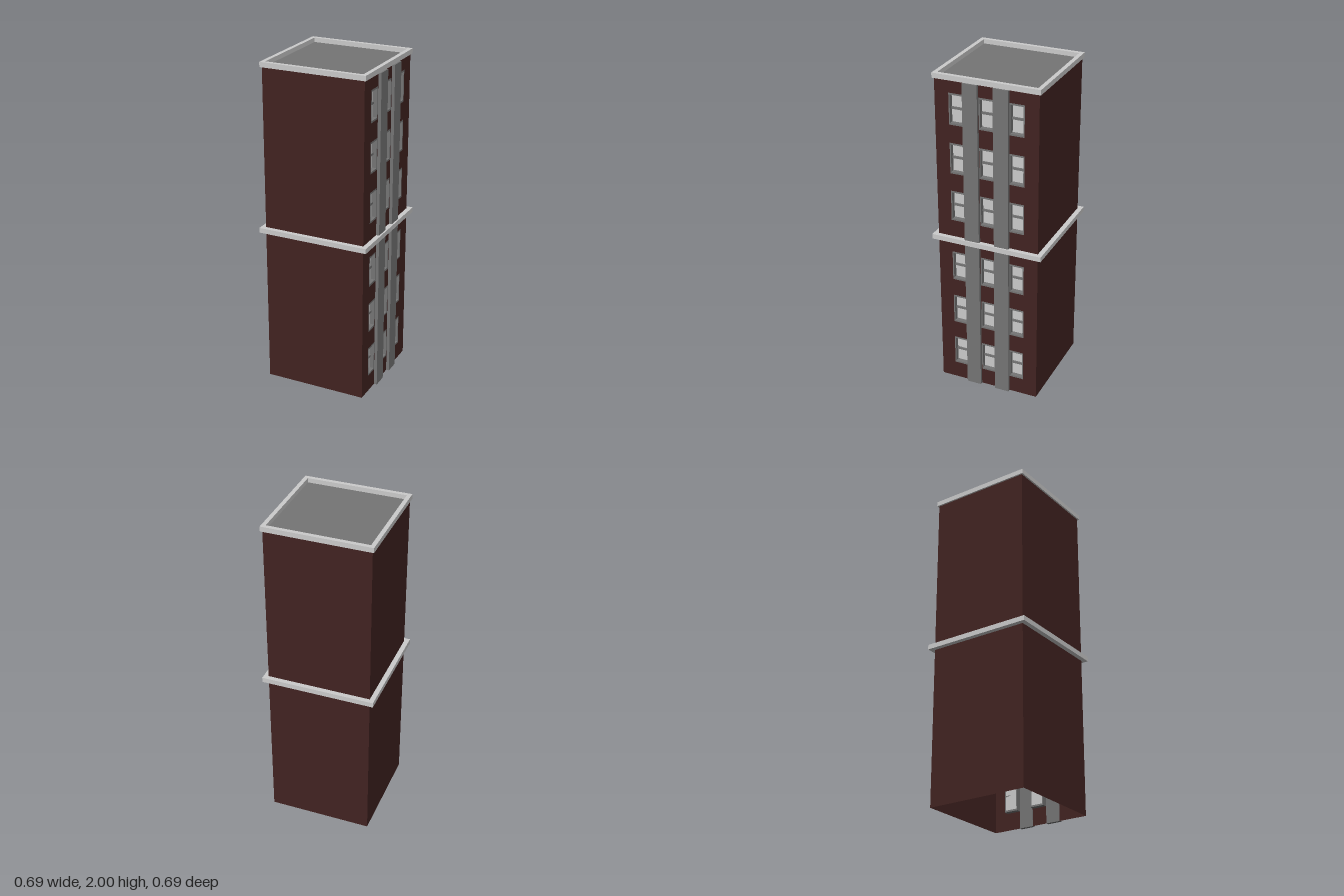
import * as THREE from 'three';

const HALF = 0.315, TOP = 1.97;
const material = (color) => new THREE.MeshStandardMaterial({ color, side: THREE.DoubleSide });
const brick = material(0x422321), stone = material(0xcccccc), slate = material(0x757575);

// Rectangle outline centred on (x, y)
function rect(x, y, w, h, Type = THREE.Path) {
  const p = new Type();
  p.moveTo(x - w / 2, y - h / 2);
  p.lineTo(x + w / 2, y - h / 2);
  p.lineTo(x + w / 2, y + h / 2);
  p.lineTo(x - w / 2, y + h / 2);
  p.closePath();
  return p;
}

function add(parent, name, geometry, mat, x = 0, y = 0, z = 0) {
  const mesh = new THREE.Mesh(geometry, mat);
  mesh.name = name;
  mesh.position.set(x, y, z);
  parent.add(mesh);
  return mesh;
}

// Rectangular frame with a rectangular hole, extruded along z
function frame(w, h, innerW, innerH, depth) {
  const shape = rect(0, 0, w, h, THREE.Shape);
  shape.holes.push(rect(0, 0, innerW, innerH));
  return new THREE.ExtrudeGeometry(shape, { depth, bevelEnabled: false });
}

// Horizontal square ring standing on height y
function ring(parent, name, outer, inner, y, height) {
  const g = frame(outer * 2, outer * 2, inner * 2, inner * 2, height);
  g.rotateX(-Math.PI / 2);
  add(parent, name, g, stone, 0, y);
}

// Recessed window: reveal, glass and middle bar, facing +z
const WIN_W = 0.09, WIN_H = 0.19, DEPTH = 0.03;
function makeWindow() {
  const win = new THREE.Group();
  win.name = 'window';
  add(win, 'windowFrame', frame(WIN_W, WIN_H, WIN_W - 0.014, WIN_H - 0.022, DEPTH), slate, 0, 0, -DEPTH);
  add(win, 'windowPane', new THREE.PlaneGeometry(WIN_W, WIN_H), stone, 0, 0, -DEPTH + 0.002);
  add(win, 'windowBar', new THREE.BoxGeometry(WIN_W - 0.014, 0.014, 0.008), slate, 0, 0, -DEPTH + 0.006);
  return win;
}

export function createModel() {
  const model = new THREE.Group();
  model.name = 'apartmentBlock';

  // Three blank walls, open underneath
  const walls = [['frontWall', 0], ['leftBlankWall', -Math.PI / 2], ['backWall', Math.PI]];
  for (const [name, angle] of walls) {
    const g = new THREE.PlaneGeometry(HALF * 2, TOP);
    g.translate(0, TOP / 2, HALF);
    g.rotateY(angle);
    add(model, name, g, brick);
  }

  // Facade toward +x, with window openings
  const facade = new THREE.Group();
  facade.name = 'windowFacade';
  facade.rotation.y = Math.PI / 2;
  model.add(facade);
  const wall = rect(0, TOP / 2, HALF * 2, TOP, THREE.Shape);
  for (const y of [0.2, 0.5, 0.8, 1.2, 1.5, 1.8]) {
    for (const x of [-0.184, 0, 0.184]) {
      wall.holes.push(rect(x, y, WIN_W, WIN_H));
      const win = makeWindow();
      win.position.set(x, y, HALF);
      facade.add(win);
    }
  }
  add(facade, 'facadeWall', new THREE.ShapeGeometry(wall), brick, 0, 0, HALF);

  // Pilasters between the window columns
  for (const x of [-0.092, 0.094])
    add(facade, 'pilaster', new THREE.BoxGeometry(0.091, TOP, 0.02), slate, x, TOP / 2, HALF + 0.009);

  // Belt course, roof and parapet
  ring(model, 'beltCourse', 0.344, 0.313, 0.97, 0.03);
  add(model, 'roof', new THREE.PlaneGeometry(HALF * 2, HALF * 2).rotateX(-Math.PI / 2), slate, 0, TOP + 0.003);
  ring(model, 'parapet', 0.325, 0.3, TOP, 0.03);
  return model;
}
